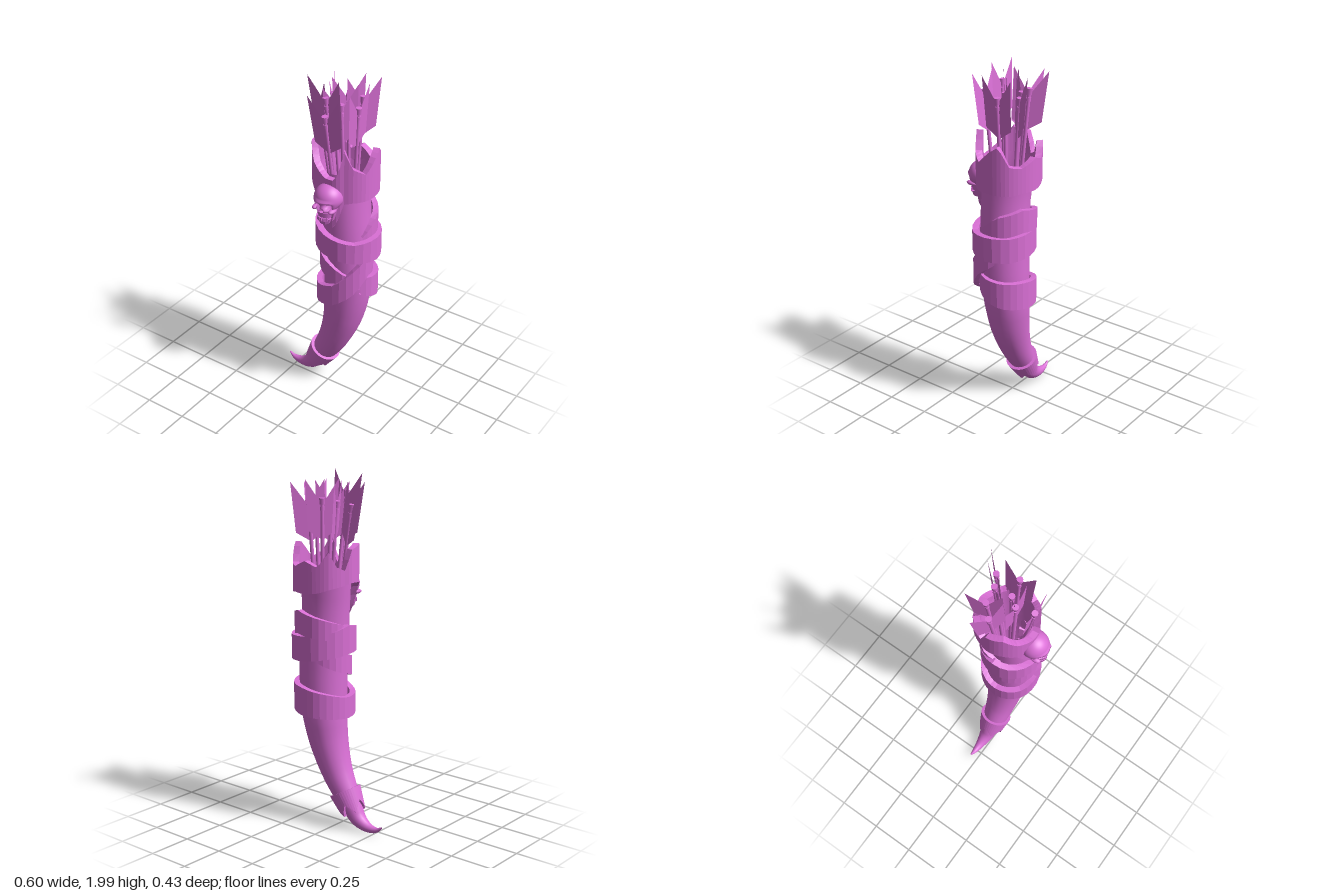
import * as THREE from 'three';
import { mergeVertices } from 'three/addons/utils/BufferGeometryUtils.js';

const COLOR = 0xda70d6;
const smooth = new THREE.MeshStandardMaterial({ color: COLOR, side: THREE.DoubleSide });
const faceted = new THREE.MeshStandardMaterial({ color: COLOR, side: THREE.DoubleSide, flatShading: true });

// Horn stations from tip to mouth: x, y, z, radius
const HORN = [
  [-0.304, 0.052, -0.037, 0.004], [-0.27, 0.03, -0.037, 0.014], [-0.21, 0.028, -0.036, 0.027],
  [-0.14, 0.062, -0.035, 0.045], [-0.09, 0.13, -0.035, 0.06], [-0.045, 0.2, -0.035, 0.073],
  [0.02, 0.32, -0.036, 0.09], [0.075, 0.48, -0.038, 0.111], [0.1, 0.62, -0.04, 0.126],
  [0.115, 0.8, -0.036, 0.135], [0.113, 1.0, -0.034, 0.135], [0.1, 1.25, -0.032, 0.132],
  [0.085, 1.48, -0.048, 0.14],
];

function mesh(name, geometry, material) {
  const m = new THREE.Mesh(geometry, material);
  m.name = name;
  return m;
}

// Surface from a grid of points f(i, k)
function grid(rows, cols, f) {
  const pos = [], idx = [], w = cols + 1;
  for (let i = 0; i <= rows; i++) for (let k = 0; k <= cols; k++) pos.push(...f(i, k));
  for (let i = 0; i < rows; i++) for (let k = 0; k < cols; k++) {
    const a = i * w + k, b = a + w;
    idx.push(a, a + 1, b + 1, a, b + 1, b);
  }
  const g = new THREE.BufferGeometry();
  g.setAttribute('position', new THREE.Float32BufferAttribute(pos, 3));
  g.setIndex(idx);
  const merged = mergeVertices(g, 1e-5);
  merged.computeVertexNormals();
  return merged;
}

// Linear interpolation of a key table, looked up by one column
function lookup(table, column, v) {
  let i = 0;
  while (i < table.length - 2 && v > table[i + 1][column]) i++;
  const a = table[i], b = table[i + 1];
  const t = THREE.MathUtils.clamp((v - a[column]) / (b[column] - a[column]), 0, 1);
  return a.map((n, j) => n + (b[j] - n) * t);
}

const hornCentre = (y) => lookup(HORN.slice(4), 1, y);

// Strap wrapped round an axis. Keys: angle in degrees (0 = left, 90 = front), low, high, outer radius
function band(name, keys, steps, thick, centre = hornCentre, taper = 0) {
  const start = keys[0][0], span = keys[keys.length - 1][0] - start;
  return mesh(name, grid(steps, 4, (i, k) => {
    const [deg, lo, hi, r] = lookup(keys, 0, start + span * i / steps);
    const c = centre((lo + hi) / 2), t = deg * Math.PI / 180;
    const high = k === 1 || k === 2, inner = k === 2 || k === 3;
    const rad = r - (inner ? thick : 0) - (high ? 0 : taper * (hi - lo));
    return [c[0] + rad * Math.cos(t), high ? hi : lo, c[2] + rad * Math.sin(t)];
  }), faceted);
}

function horn() {
  const path = new THREE.CatmullRomCurve3(HORN.map((s) => new THREE.Vector3(s[0], s[1], s[2])));
  const n = HORN.length - 1, steps = n * 3;
  return mesh('horn', grid(20, steps, (i, k) => {
    const u = k / steps, p = path.getPoint(u), d = path.getTangent(u);
    const s = Math.min(Math.floor(u * n), n - 1);
    const r = THREE.MathUtils.lerp(HORN[s][3], HORN[s + 1][3], u * n - s);
    const a = (i % 20) / 20 * Math.PI * 2, c = r * Math.cos(a), len = Math.hypot(d.x, d.y);
    return [p.x + c * d.y / len, p.y - c * d.x / len, p.z + r * Math.sin(a)];
  }), smooth);
}

// Skull: a sphere narrowed towards the face, with sockets pressed in
function skull() {
  const g = new THREE.Group();
  g.name = 'skull';
  const head = new THREE.SphereGeometry(1, 40, 32), p = head.attributes.position;
  const pit = (x, y, cx, cy, w, h) => Math.exp(-(((x - cx) / w) ** 4) - ((y - cy) / h) ** 4);
  for (let i = 0; i < p.count; i++) {
    let x = p.getX(i), y = p.getY(i), z = p.getZ(i);
    const low = THREE.MathUtils.smoothstep(-y, 0.1, 0.85);
    x *= 1 - 0.15 * low;
    if (z > 0) {
      z += 0.3 * low;
      z -= 0.5 * (pit(x, y, 0.38, -0.3, 0.25, 0.22) + pit(x, y, -0.38, -0.3, 0.25, 0.22));
      z -= 0.3 * pit(x, y, 0, -0.65, 0.13, 0.16);
      z += 0.12 * pit(x, y, 0, 0.0, 0.7, 0.12);
    }
    p.setXYZ(i, x * 0.08, y * 0.078, z * 0.08);
  }
  head.computeVertexNormals();
  g.add(mesh('cranium', head, smooth));
  // Upper jaw, chin and cheekbones
  const upper = mesh('upperJaw', new THREE.CylinderGeometry(0.045, 0.036, 0.04, 12), smooth);
  upper.position.set(0, -0.078, 0.034);
  const chin = mesh('lowerJaw', new THREE.CylinderGeometry(0.04, 0.028, 0.032, 10), faceted);
  chin.position.set(0, -0.119, 0.036);
  g.add(upper, chin);
  for (const s of [-1, 1]) {
    const cheek = mesh('cheekbone', new THREE.SphereGeometry(1, 12, 8), smooth);
    cheek.scale.set(0.018, 0.013, 0.032);
    cheek.position.set(s * 0.051, -0.05, 0.042);
    const hinge = mesh('jawHinge', new THREE.BoxGeometry(0.012, 0.075, 0.026), faceted);
    hinge.position.set(s * 0.042, -0.085, 0.015);
    hinge.rotation.z = -s * 0.25;
    g.add(cheek, hinge);
  }
  // Teeth in an arc
  for (let i = -3; i <= 3; i++) {
    const tooth = mesh('tooth', new THREE.BoxGeometry(0.009, 0.02, 0.008), faceted), a = i * 0.3;
    tooth.position.set(0.038 * Math.sin(a), -0.1, 0.036 + 0.038 * Math.cos(a));
    tooth.rotation.y = a;
    g.add(tooth);
  }
  g.position.set(0.092, 1.362, 0.125);
  return g;
}

// Arrow with its nock end at (x, y, z) and two opposed vanes turned by a heading
function arrow(x, y, z, heading) {
  const g = new THREE.Group();
  g.name = 'arrow';
  const top = new THREE.Vector3(x, y, z);
  const foot = new THREE.Vector3(0.3 * x + 0.075, 0.95, 0.3 * z - 0.032);
  const len = top.distanceTo(foot);
  const shaft = mesh('shaft', new THREE.CylinderGeometry(0.01, 0.01, len, 8), smooth);
  shaft.position.y = -len / 2;
  const nock = mesh('nock', new THREE.CylinderGeometry(0.017, 0.014, 0.035, 10), smooth);
  nock.position.y = -0.01;
  const collar = mesh('nockCollar', new THREE.CylinderGeometry(0.013, 0.013, 0.02, 10), smooth);
  collar.position.y = -0.05;
  g.add(shaft, nock, collar);
  for (const s of [-1, 1]) {
    const outline = [[0, -0.22], [0.08, -0.165], [0.092, 0.11], [0, -0.03]];
    const vane = new THREE.Shape(outline.map(([u, v]) => new THREE.Vector2(s * u, v)));
    const m = mesh('vane', new THREE.ShapeGeometry(vane), faceted);
    m.rotation.y = heading;
    g.add(m);
  }
  g.position.copy(top);
  g.quaternion.setFromUnitVectors(new THREE.Vector3(0, 1, 0), top.clone().sub(foot).normalize());
  return g;
}

export function createModel() {
  const model = new THREE.Group();
  model.name = 'hornQuiver';
  model.add(horn(), skull());

  // Crowned collar with a pointed shield under the skull
  model.add(band('collar', [
    [0, 1.34, 1.57, 0.182], [22, 1.34, 1.5, 0.182], [45, 1.34, 1.54, 0.178], [60, 1.33, 1.64, 0.175],
    [72, 1.23, 1.5, 0.172], [82, 1.18, 1.47, 0.17], [98, 1.18, 1.47, 0.17], [112, 1.25, 1.49, 0.172],
    [127, 1.36, 1.52, 0.178], [150, 1.4, 1.61, 0.183], [180, 1.41, 1.59, 0.185], [195, 1.4, 1.48, 0.18],
    [210, 1.39, 1.5, 0.178], [225, 1.38, 1.58, 0.175], [245, 1.36, 1.5, 0.173], [270, 1.35, 1.53, 0.173],
    [300, 1.35, 1.49, 0.175], [322, 1.34, 1.5, 0.18], [343, 1.34, 1.61, 0.182], [360, 1.34, 1.57, 0.182],
  ], 48, 0.035));

  // Leather straps
  model.add(band('middleStrap', [
    [0, 0.96, 1.1, 0.187], [45, 0.97, 1.09, 0.178], [90, 0.99, 1.11, 0.172], [150, 1.01, 1.15, 0.178],
    [180, 1.01, 1.17, 0.178], [225, 0.99, 1.13, 0.172], [270, 0.97, 1.11, 0.17], [315, 0.96, 1.1, 0.18],
    [360, 0.96, 1.1, 0.187],
  ], 24, 0.035));
  model.add(band('upperStrap', [
    [170, 1.06, 1.15, 0.14], [200, 1.08, 1.18, 0.165], [235, 1.1, 1.21, 0.172], [290, 1.12, 1.25, 0.172],
    [340, 1.09, 1.21, 0.166], [385, 1.04, 1.11, 0.15],
  ], 18, 0.03));
  model.add(band('lowerStrap', [
    [-15, 0.93, 1.03, 0.15], [20, 0.86, 0.99, 0.17], [50, 0.76, 0.91, 0.174], [85, 0.68, 0.81, 0.176],
    [120, 0.65, 0.77, 0.176], [180, 0.64, 0.76, 0.168], [225, 0.65, 0.79, 0.168], [280, 0.66, 0.82, 0.168],
    [335, 0.68, 0.83, 0.168], [365, 0.71, 0.84, 0.162], [390, 0.74, 0.85, 0.148],
  ], 32, 0.032));
  model.add(band('crossStrap', [
    [30, 0.77, 0.84, 0.142], [60, 0.79, 0.87, 0.152], [100, 0.83, 0.93, 0.156], [150, 0.87, 0.98, 0.158],
    [200, 0.91, 1.02, 0.156], [245, 0.96, 1.05, 0.14],
  ], 16, 0.025));

  // Toothed cuff near the tip, square to the horn's axis
  const teeth = [];
  for (let i = 0; i <= 10; i++) teeth.push([i * 36, i % 2 ? -0.025 : -0.085, 0.05, 0.092]);
  const cuff = band('tipCuff', teeth, 40, 0.022, () => [0, 0, 0], 0.17);
  cuff.position.set(-0.065, 0.165, -0.035);
  cuff.rotation.z = -0.51;
  model.add(cuff);

  // Arrows: nock x, y, z and vane heading
  for (const a of [
    [-0.085, 1.82, -0.035, -0.45], [-0.03, 1.84, -0.09, -1.1], [0.06, 1.85, -0.105, 0.9],
    [0.125, 1.84, -0.14, 0.85], [0.17, 1.83, -0.03, 1.57], [0.075, 1.83, -0.01, 0.75],
    [0.02, 1.88, 0.05, 0.03], [0.07, 1.82, 0.13, 0.05],
  ]) model.add(arrow(...a));
  return model;
}
